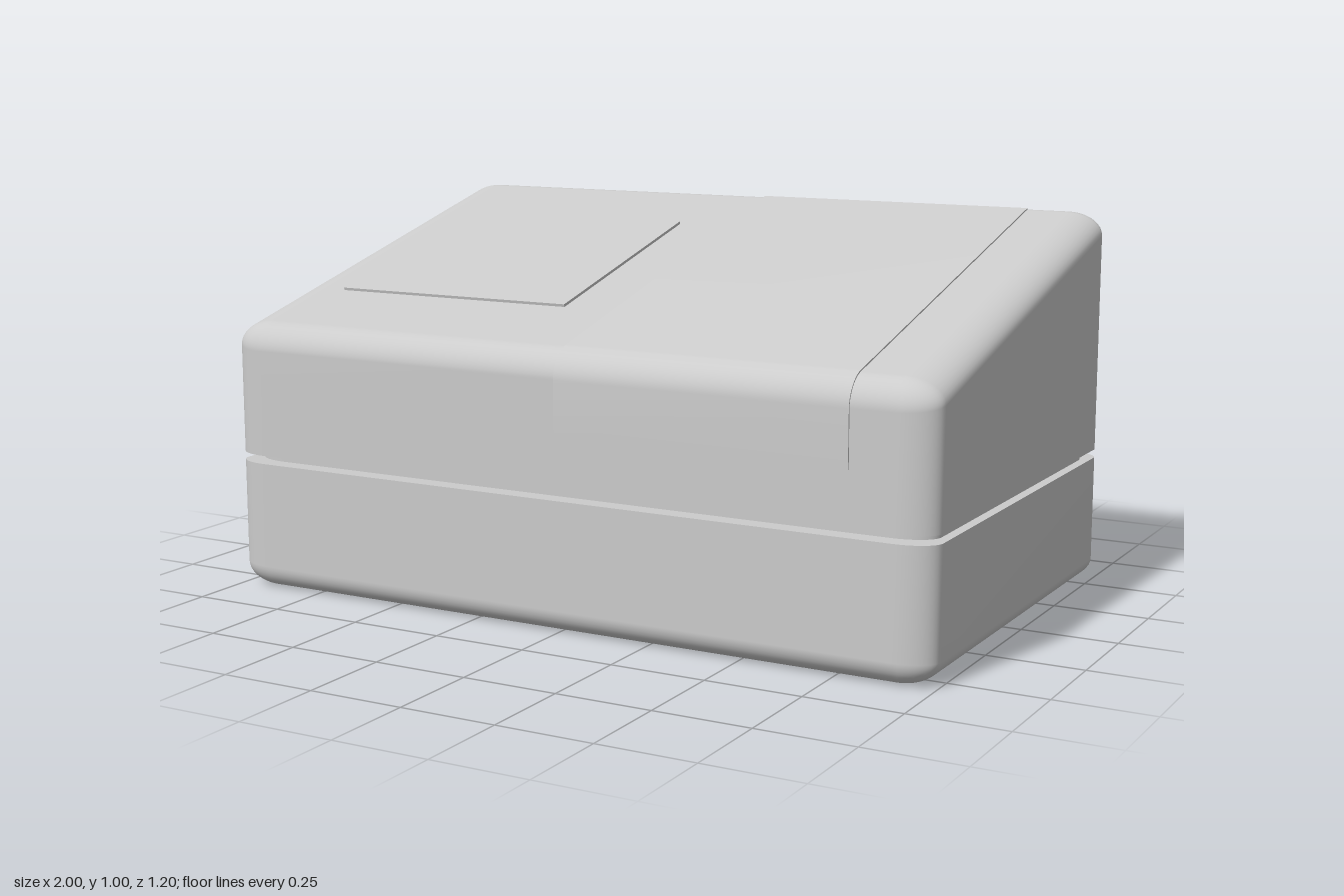
import * as THREE from 'three';
import { toCreasedNormals } from 'three/addons/utils/BufferGeometryUtils.js';

const SLOPE = 0.257, TOP = 0.856;       // sloping top plane: y = TOP - SLOPE * z
const HX = 1, HZ = 0.6;                 // half width and half depth
const RX = 0.1, RY = 0.06, RZ = 0.06;   // edge radii
const SEG = 10;
const material = new THREE.MeshStandardMaterial({ color: 0xcccccc, roughness: 0.8 });

// One rounded-rectangle ring; s scales the corner radii, height(z) gives y
function ring(s, height, hx = HX, hz = HZ) {
  const points = [];
  for (let q = 0; q < 4; q++) {
    const sx = q === 0 || q === 3 ? 1 : -1, sz = q < 2 ? 1 : -1;
    for (let i = 0; i <= SEG; i++) {
      const a = (q + i / SEG) * Math.PI / 2;
      const z = sz * (hz - RZ) + s * RZ * Math.sin(a);
      points.push([sx * (hx - RX) + s * RX * Math.cos(a), height(z), z]);
    }
  }
  return points;
}

// Skin a stack of rings from bottom to top and close both ends
function loft(rings) {
  const n = rings[0].length, pos = rings.flat(2), index = [];
  for (let i = 0; i < rings.length - 1; i++) {
    for (let j = 0; j < n; j++) {
      const k = (j + 1) % n, a = i * n + j, b = i * n + k;
      index.push(a, a + n, b, b, a + n, b + n);
    }
  }
  const last = (rings.length - 1) * n, centre = rings.length * n;
  for (const r of [rings[0], rings[rings.length - 1]]) {
    pos.push(0, r.reduce((sum, p) => sum + p[1], 0) / n, 0);
  }
  for (let j = 0; j < n; j++) {
    const k = (j + 1) % n;
    index.push(centre, j, k, centre + 1, last + k, last + j);
  }
  const g = new THREE.BufferGeometry();
  g.setAttribute('position', new THREE.Float32BufferAttribute(pos, 3));
  g.setIndex(index);
  g.computeVertexNormals();
  return g;
}

function add(group, name, geometry) {
  const mesh = new THREE.Mesh(geometry, material);
  mesh.name = name;
  group.add(mesh);
  return mesh;
}

export function createModel() {
  const group = new THREE.Group();
  group.name = 'slopedCase';
  const flat = y => () => y;

  // Lower shell: rounded bottom edge, sharp rim (repeated ring)
  const lower = [];
  for (let i = 0; i <= SEG; i++) {
    const t = i / SEG * Math.PI / 2;
    lower.push(ring(Math.sin(t), flat(RY * (1 - Math.cos(t)))));
  }
  lower.push(ring(1, flat(0.34)), ring(1, flat(0.34)));
  add(group, 'lowerShell', loft(lower));

  // Upper shell: sharp rim, rounded edge around the sloping top
  const upper = [ring(1, flat(0.362)), ring(1, flat(0.362))];
  for (let i = 0; i <= SEG; i++) {
    const t = i / SEG * Math.PI / 2;
    upper.push(ring(Math.cos(t), z => TOP - SLOPE * z - RY * (1 - Math.sin(t))));
  }
  add(group, 'upperShell', loft(upper));

  // Recessed core showing in the seam between the shells
  add(group, 'seamCore', loft([0.3, 0.3, 0.4, 0.4].map(y => ring(1, flat(y), 0.975, 0.55))));

  // Slightly raised rectangular panel on the slope
  const panel = add(group, 'raisedPanel', new THREE.BoxGeometry(0.7, 0.03, 0.64));
  panel.rotation.x = Math.atan(SLOPE);
  panel.position.set(-0.49, TOP - 0.008, 0);

  // Thin cover strip running over the top and down the front (drawn in -z, y)
  const lift = 0.004, profile = new THREE.Shape();
  const topY = z => TOP - SLOPE * z;
  profile.moveTo(0.55, topY(-0.55) - 0.03);
  profile.lineTo(0.55, topY(-0.55) + lift);
  for (let i = 0; i <= SEG; i++) {
    const t = (1 - i / SEG) * Math.PI / 2;
    const z = HZ - RZ + (RZ + lift) * Math.cos(t);
    profile.lineTo(-z, topY(z) - RY + (RY + lift) * Math.sin(t));
  }
  profile.lineTo(-HZ - lift, 0.5);
  profile.lineTo(-0.54, 0.5);
  profile.lineTo(-0.54, topY(0.54) - 0.03);
  const strip = new THREE.ExtrudeGeometry(profile, { depth: 0.785, bevelEnabled: false });
  strip.rotateY(Math.PI / 2);
  add(group, 'coverStrip', toCreasedNormals(strip, 0.5)).position.x = 0.005;

  return group;
}
